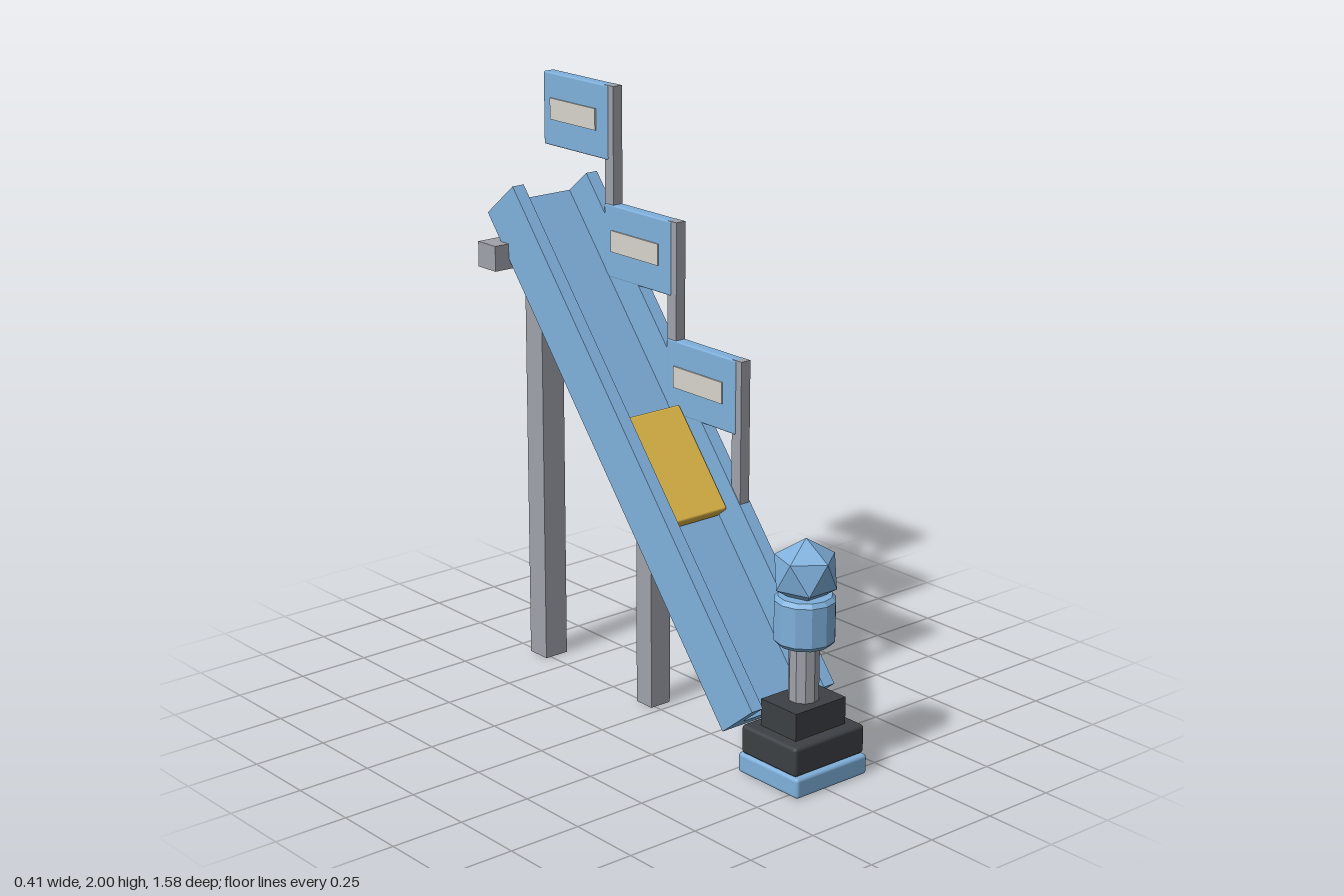
import * as THREE from 'three';
import { RoundedBoxGeometry } from 'three/addons/geometries/RoundedBoxGeometry.js';

const material = (name, color) => {
  const m = new THREE.MeshStandardMaterial({ color });
  m.name = name;
  return m;
};

// Split faces so each one shades flat
function faceted(geometry) {
  const g = geometry.index ? geometry.toNonIndexed() : geometry;
  g.computeVertexNormals();
  return g;
}

export function createModel() {
  const blue = material('sky blue', 0x7fb0db);
  const yellow = material('yellow', 0xe0b848);
  const grey = material('steel grey', 0xa0a2aa);
  const black = material('charcoal', 0x3c4044);
  const cream = material('pale label', 0xd8d4cb);

  const model = new THREE.Group();
  model.name = 'rampWithFlags';

  function add(name, geometry, mat, x = 0, y = 0, z = 0, parent = model) {
    const mesh = new THREE.Mesh(geometry, mat);
    mesh.name = name;
    mesh.position.set(x, y, z);
    parent.add(mesh);
    return mesh;
  }

  // Box given by its limits, with optional rounded edges
  function block(name, mat, [x0, x1], [y0, y1], [z0, z1], radius = 0, parent = model) {
    const size = [x1 - x0, y1 - y0, z1 - z0];
    const geometry = radius
      ? new RoundedBoxGeometry(...size, 2, radius)
      : new THREE.BoxGeometry(...size);
    return add(name, geometry, mat, (x0 + x1) / 2, (y0 + y1) / 2, (z0 + z1) / 2, parent);
  }

  // Sloping chute: a U section extruded along the slope
  const ramp = new THREE.Group();
  ramp.name = 'ramp';
  ramp.position.set(0.025, 0.91, -0.045);
  ramp.rotation.x = THREE.MathUtils.degToRad(50.9);
  model.add(ramp);
  const length = 1.87;
  const section = new THREE.Shape([
    [-0.175, -0.088], [0.175, -0.088], [0.175, 0.088], [0.13, 0.088],
    [0.13, -0.028], [-0.13, -0.028], [-0.13, 0.088], [-0.175, 0.088],
  ].map(([x, y]) => new THREE.Vector2(x, y)));
  const chute = new THREE.ExtrudeGeometry(section, { depth: length, bevelEnabled: false });
  chute.translate(0, 0, -length / 2);
  add('chute', chute, blue, 0, 0, 0, ramp);

  // Pad lying on the chute floor
  add('pad', new RoundedBoxGeometry(0.25, 0.06, 0.38, 2, 0.008), yellow, 0, 0.002, 0.089, ramp);

  // Supports
  block('frontLeg', grey, [-0.015, 0.065], [0, 0.75], [-0.107, -0.032]);
  block('backLeg', grey, [-0.02, 0.07], [0, 1.5], [-0.677, -0.59]);
  block('crossbar', grey, [-0.205, 0.025], [1.41, 1.495], [-0.685, -0.593]);

  // Flags stepping up one rail: flag front edge z, top y, pole foot y
  [[0.182, 1.215, 0.73], [-0.135, 1.607, 1.12], [-0.452, 2, 1.51]].forEach(([z, top, foot], i) => {
    const flag = new THREE.Group();
    flag.name = `flag${i + 1}`;
    model.add(flag);
    block('flagPole', grey, [0.157, 0.195], [foot, top], [z - 0.018, z + 0.025], 0, flag);
    block('flagPanel', blue, [0.154, 0.198], [top - 0.247, top], [z - 0.338, z], 0.006, flag);
    for (const x of [0.149, 0.197]) {
      block('flagLabel', cream, [x, x + 0.006], [top - 0.157, top - 0.085], [z - 0.298, z - 0.06], 0, flag);
    }
  });

  // Post at the foot of the ramp
  const post = new THREE.Group();
  post.name = 'post';
  post.position.set(0.025, 0, 0.657);
  model.add(post);
  block('baseSlab', blue, [-0.15, 0.15], [0, 0.068], [-0.137, 0.137], 0.012, post);
  block('plinth', black, [-0.147, 0.147], [0.068, 0.165], [-0.125, 0.125], 0.012, post);
  block('plinthTop', black, [-0.105, 0.105], [0.16, 0.255], [-0.08, 0.08], 0, post);
  add('shaft', faceted(new THREE.CylinderGeometry(0.049, 0.049, 0.22, 10)), grey, 0, 0.355, 0, post);

  const barrel = [[0, 0.443], [0.086, 0.443], [0.098, 0.457], [0.098, 0.587], [0.086, 0.601], [0, 0.601]]
    .map(([r, y]) => new THREE.Vector2(r, y));
  add('barrel', faceted(new THREE.LatheGeometry(barrel, 12)), blue, 0, 0, 0, post);

  // Faceted ball standing on one of its corners
  const ball = new THREE.IcosahedronGeometry(0.11, 0);
  const corner = new THREE.Vector3(0, 1, (1 + Math.sqrt(5)) / 2).normalize();
  ball.applyQuaternion(new THREE.Quaternion().setFromUnitVectors(corner, new THREE.Vector3(0, 1, 0)));
  add('ball', faceted(ball), blue, 0, 0.675, 0, post);

  return model;
}
